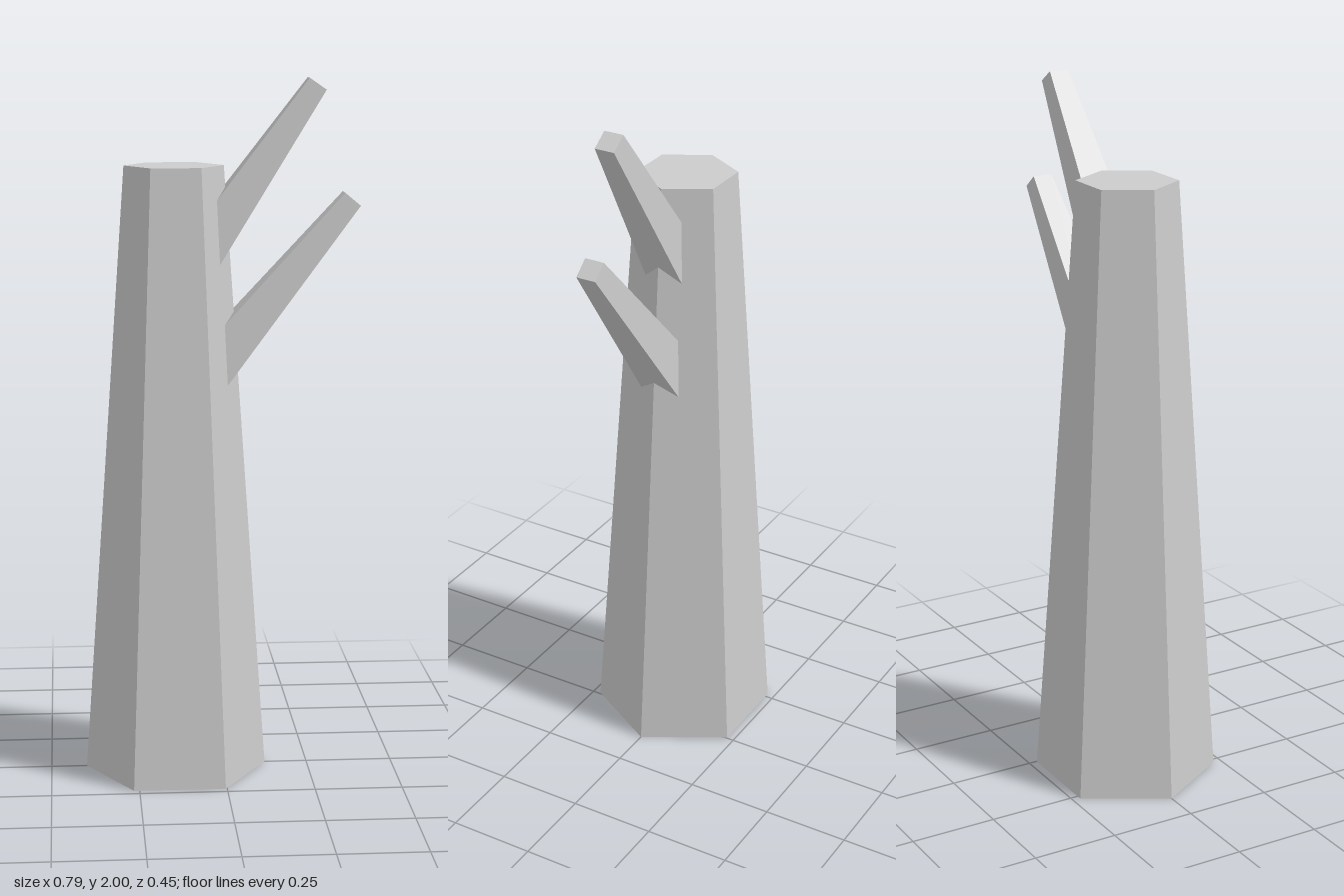
import * as THREE from 'three';

const material = new THREE.MeshStandardMaterial({ color: 0xcccccc, flatShading: true });

// Square tapered limb ending at (tipX, tipY); its thick end is buried in the trunk
function makeBranch(name, tipX, tipY, degrees) {
  const length = 0.66;
  const geometry = new THREE.CylinderGeometry(0.029 * Math.SQRT2, 0.063 * Math.SQRT2, length, 4);
  geometry.rotateY(Math.PI / 4);
  geometry.translate(0, -length / 2, 0);
  const branch = new THREE.Mesh(geometry, material);
  branch.name = name;
  branch.position.set(tipX, tipY, 0);
  branch.rotation.z = THREE.MathUtils.degToRad(degrees - 90);
  return branch;
}

export function createModel() {
  const model = new THREE.Group();
  model.name = 'deadTree';

  // Six-sided trunk with corners pointing left and right
  const height = 1.757;
  const trunkGeometry = new THREE.CylinderGeometry(0.141, 0.262, height, 6);
  trunkGeometry.rotateY(Math.PI / 6);
  const trunk = new THREE.Mesh(trunkGeometry, material);
  trunk.name = 'trunk';
  trunk.position.set(-0.135, height / 2, 0);

  model.add(
    trunk,
    makeBranch('upperBranch', 0.268, 1.983, 55.3),
    makeBranch('lowerBranch', 0.369, 1.661, 50.2),
  );
  return model;
}
